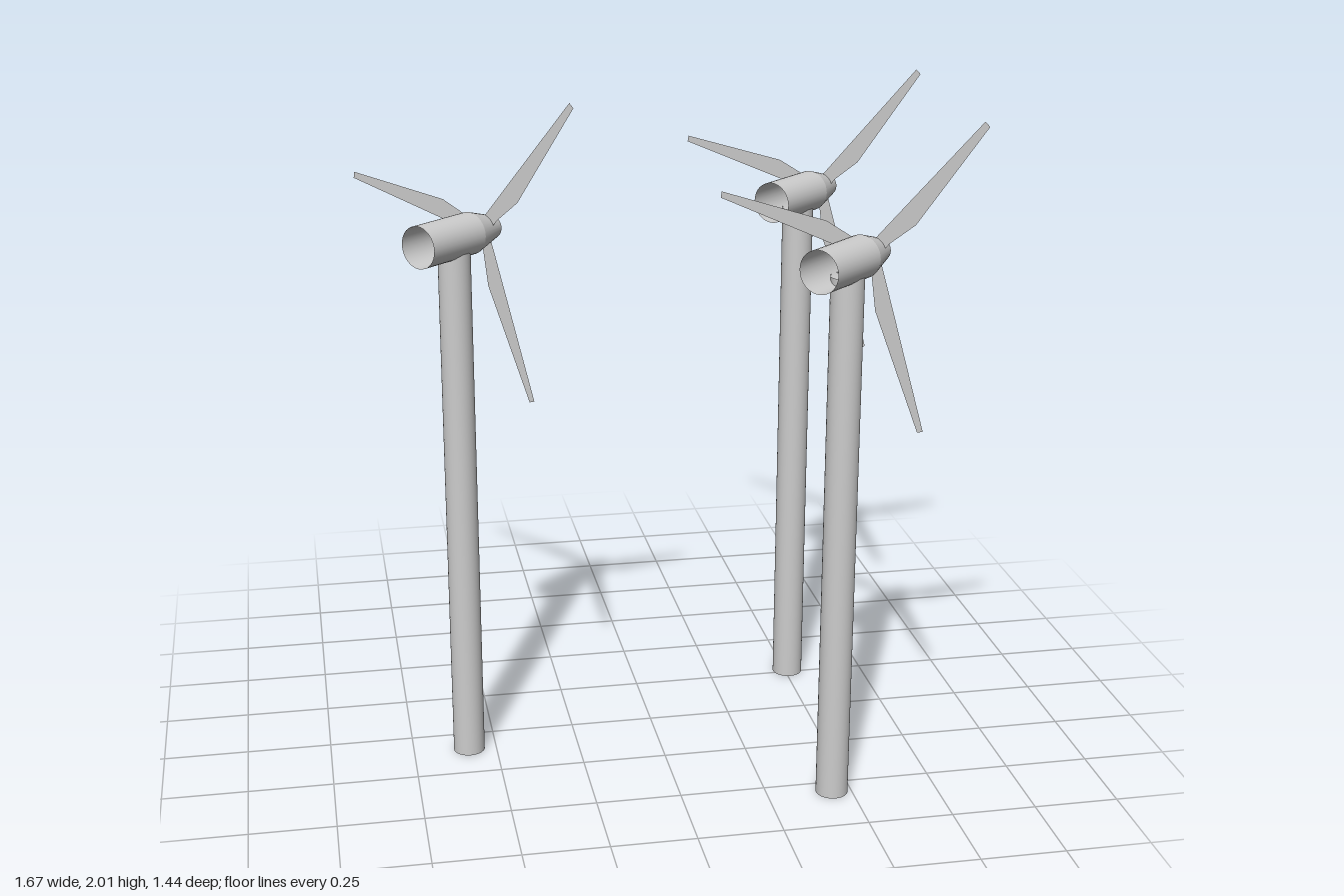
import * as THREE from 'three';

const HUB_Y = 1.608;
const white = new THREE.MeshStandardMaterial({ color: 0xcccccc, side: THREE.DoubleSide });
white.name = 'lightGrey';

function part(name, geometry, parent) {
  const mesh = new THREE.Mesh(geometry, white);
  mesh.name = name;
  parent.add(mesh);
  return mesh;
}

// Open-ended tube along +z between two stations
function section(r0, r1, z0, z1) {
  return new THREE.CylinderGeometry(r1, r0, z1 - z0, 32, 1, true)
    .rotateX(Math.PI / 2).translate(0, 0, (z0 + z1) / 2);
}

// Flat blade outline pointing along +x
const bladeShape = new THREE.Shape([
  [0.02, -0.02], [0.06, -0.02], [0.18, -0.018], [0.516, -0.012],
  [0.516, 0.007], [0.16, 0.039], [0.06, 0.02], [0.02, 0.02],
].map(([x, y]) => new THREE.Vector2(x, y)));

function createTurbine() {
  const turbine = new THREE.Group();

  // Hollow tower, open at the foot
  part('tower', new THREE.CylinderGeometry(0.047, 0.047, HUB_Y - 0.04, 32, 1, true)
    .translate(0, (HUB_Y - 0.04) / 2, 0), turbine);

  // Nacelle with open tail, tapering to a flat nose
  const head = new THREE.Group();
  head.name = 'head';
  head.position.y = HUB_Y;
  head.rotation.y = THREE.MathUtils.degToRad(132.6);
  turbine.add(head);
  part('nacelle', section(0.061, 0.061, -0.146, 0.068), head);
  part('noseCone', section(0.061, 0.032, 0.068, 0.169), head);
  part('noseCap', new THREE.CircleGeometry(0.032, 32).translate(0, 0, 0.169), head);

  // Three thin blades around the nose
  const rotor = new THREE.Group();
  rotor.name = 'rotor';
  rotor.position.z = 0.123;
  head.add(rotor);
  for (let i = 0; i < 3; i++) {
    const blade = part('blade', new THREE.ShapeGeometry(bladeShape), rotor);
    blade.rotation.z = THREE.MathUtils.degToRad(10.6 + 120 * i);
  }
  return turbine;
}

export function createModel() {
  const model = new THREE.Group();
  model.name = 'windFarm';
  const spots = [[-0.582, 0.097], [0.442, 0.552], [0.508, -0.263]];
  spots.forEach(([x, z], i) => {
    const turbine = createTurbine();
    turbine.name = `windTurbine${i + 1}`;
    turbine.position.set(x, 0, z);
    model.add(turbine);
  });
  return model;
}
